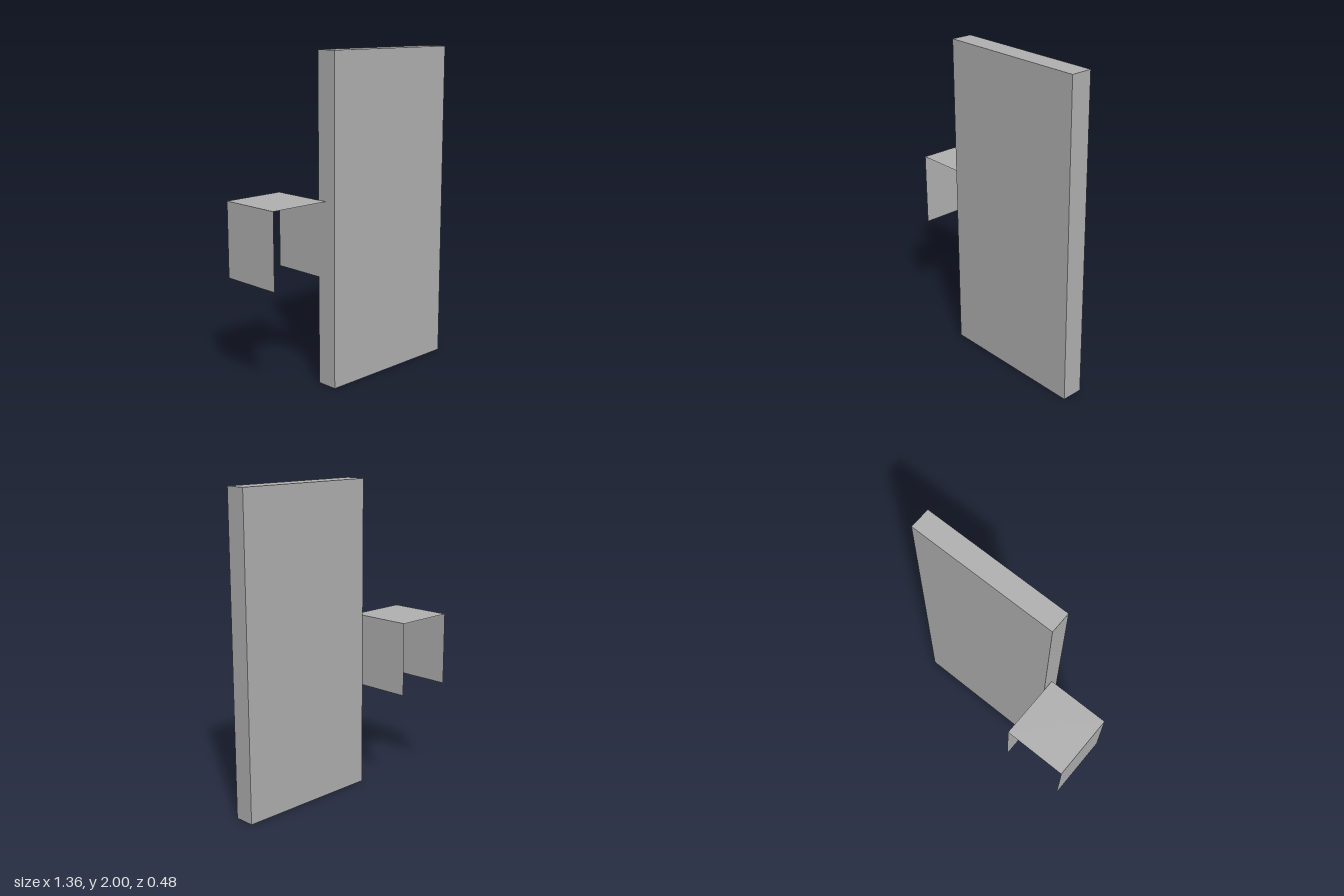
import * as THREE from 'three';

export function createModel() {
  const model = new THREE.Group();
  const grey = new THREE.MeshStandardMaterial({ color: 0xb2b2b2, side: THREE.DoubleSide });
  grey.name = 'grey';

  function add(parent, name, geometry, x, y, z) {
    const mesh = new THREE.Mesh(geometry, grey);
    mesh.name = name;
    mesh.position.set(x, y, z);
    parent.add(mesh);
    return mesh;
  }

  // Tall upright slab
  add(model, 'doorPanel', new THREE.BoxGeometry(0.96, 2, 0.134), 0.2, 1, 0.173);

  // Thin-sheet bracket beside the slab: a top and two sides, open elsewhere
  const bracket = new THREE.Group();
  bracket.name = 'bracket';
  bracket.position.set(-0.483, 0.67, -0.035);
  model.add(bracket);

  const width = 0.398, height = 0.464, depth = 0.414;
  add(bracket, 'bracketTop', new THREE.PlaneGeometry(width, depth).rotateX(-Math.PI / 2), 0, height, 0);
  for (const side of [-1, 1]) {
    const sheet = new THREE.PlaneGeometry(depth, height).rotateY(side * Math.PI / 2);
    add(bracket, side < 0 ? 'bracketRightSide' : 'bracketLeftSide', sheet, side * width / 2, height / 2, 0);
  }

  return model;
}
